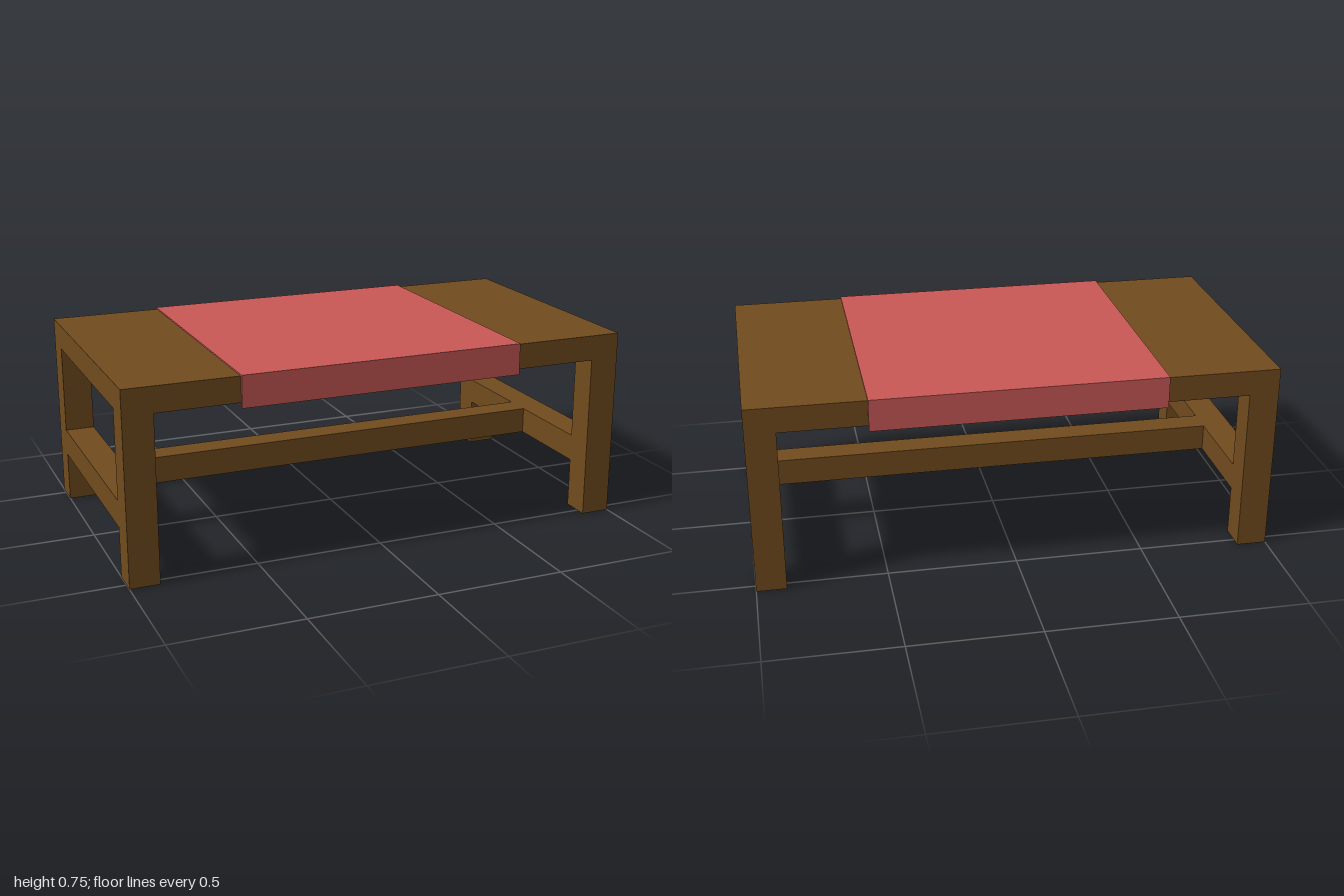
import * as THREE from 'three';

export function createModel() {
  const table = new THREE.Group();
  table.name = 'table';
  const wood = new THREE.MeshStandardMaterial({ color: 0x714b1e });
  const cloth = new THREE.MeshStandardMaterial({ color: 0xc95855 });

  // Box given by its lower and upper corners
  function box(name, [x0, y0, z0], [x1, y1, z1]) {
    const mesh = new THREE.Mesh(new THREE.BoxGeometry(x1 - x0, y1 - y0, z1 - z0), wood);
    mesh.position.set((x0 + x1) / 2, (y0 + y1) / 2, (z0 + z1) / 2);
    mesh.name = name;
    table.add(mesh);
  }

  const D = 0.54, T = 0.115;       // half depth, leg thickness
  const under = 0.646, top = 0.745; // table top slab
  const low = 0.195, high = 0.3;    // stretcher heights

  box('tableTop', [-1, under, -D], [1, top, D]);

  // Legs and end rails
  for (const s of [-1, 1]) {
    const x0 = s < 0 ? -1 : 1 - T, x1 = x0 + T;
    const side = s < 0 ? 'right' : 'left';
    box(side + 'FrontLeg', [x0, 0, D - T], [x1, under, D]);
    box(side + 'BackLeg', [x0, 0, -D], [x1, under, -D + T]);
    box(side + 'EndRail', [x0, low, -D + T], [x1, high, D - T]);
  }

  // Long stretcher between the end rails
  box('stretcher', [-1 + T, low, -0.065], [1 - T, high, 0.04]);

  // Runner cloth: thin U section draped over the top, swept along x
  const out = 0.55, hem = 0.627, crown = 0.75;
  const section = new THREE.Shape([
    [-out, hem], [-D, hem], [-D, top], [D, top],
    [D, hem], [out, hem], [out, crown], [-out, crown],
  ].map(([z, y]) => new THREE.Vector2(z, y)));
  const geometry = new THREE.ExtrudeGeometry(section, { depth: 1.12, bevelEnabled: false });
  geometry.rotateY(Math.PI / 2);
  geometry.translate(-0.565, 0, 0);
  const runner = new THREE.Mesh(geometry, cloth);
  runner.name = 'runner';
  table.add(runner);

  return table;
}
